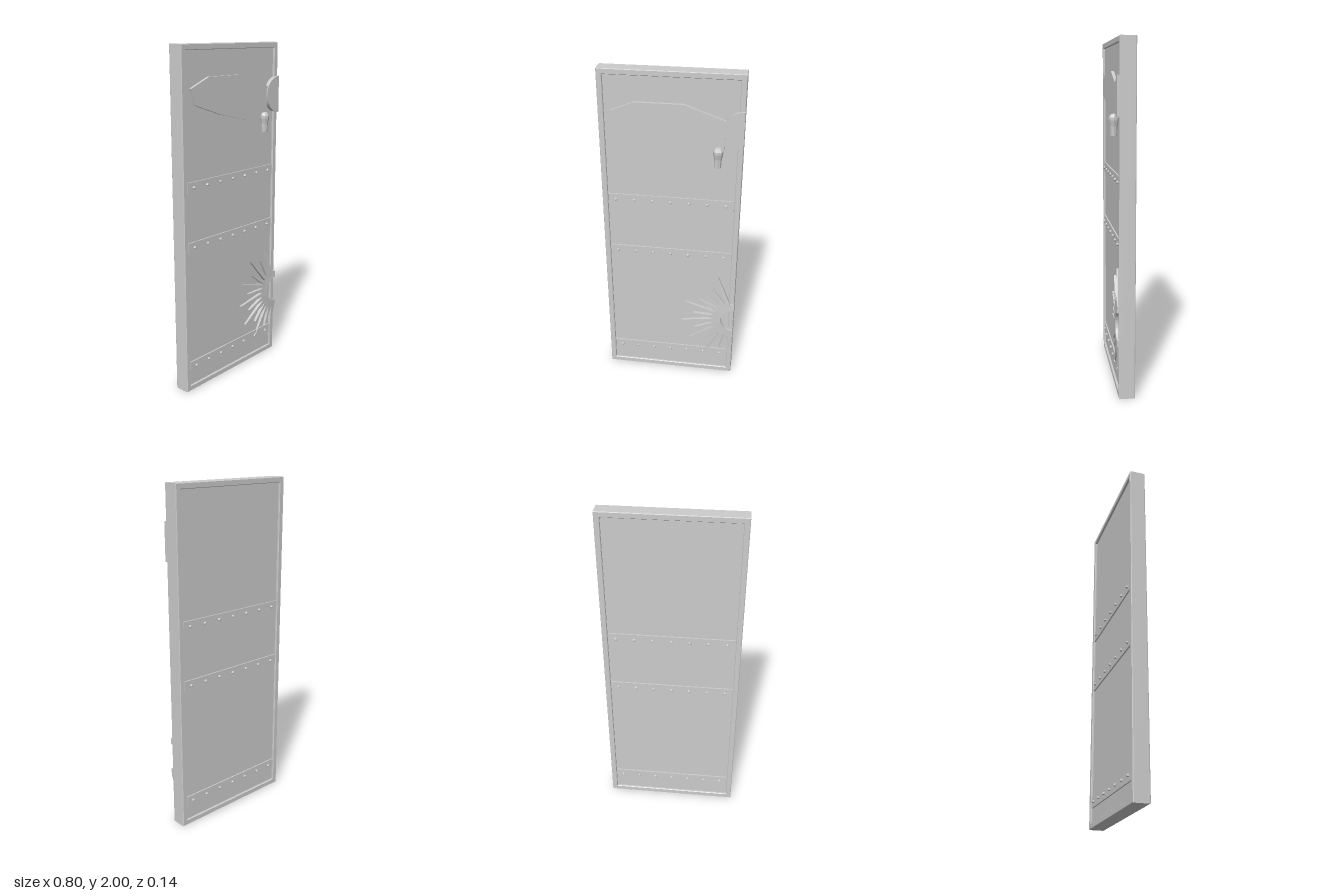
import * as THREE from 'three';

const MID = -0.018; // z of the door's middle plane
const mat = new THREE.MeshStandardMaterial({ color: 0xcccccc, flatShading: true });

function add(parent, name, geometry, x = 0, y = 0, z = 0) {
  const mesh = new THREE.Mesh(geometry, mat);
  mesh.name = name;
  mesh.position.set(x, y, z);
  parent.add(mesh);
  return mesh;
}

function rect(w, h, Type = THREE.Shape) {
  const s = new Type();
  s.moveTo(-w / 2, -h / 2);
  s.lineTo(w / 2, -h / 2);
  s.lineTo(w / 2, h / 2);
  s.lineTo(-w / 2, h / 2);
  s.closePath();
  return s;
}

const extrude = (shape, depth) =>
  new THREE.ExtrudeGeometry(shape, { depth, bevelEnabled: false, curveSegments: 20 });

// Riveted cross straps, one side of the door
function strapSet(name) {
  const set = new THREE.Group();
  set.name = name;
  const rivet = new THREE.SphereGeometry(0.0095, 7, 5).rotateX(Math.PI / 2);
  for (const y of [1.232, 0.885, 0.15]) {
    add(set, 'strap', new THREE.BoxGeometry(0.73, 0.064, 0.012), 0, y, 0.036);
    for (let i = -3; i <= 3; i++) add(set, 'rivet', rivet, i * 0.1067, y, 0.044);
  }
  set.position.z = MID;
  return set;
}

// Half sunburst: open ring with long and short rays, cut off at the door edge
function sunburst() {
  const polar = (deg, r) => {
    const a = THREE.MathUtils.degToRad(deg);
    return new THREE.Vector2(Math.cos(a) * r, Math.sin(a) * r);
  };
  const step = 180 / 14, pts = [polar(90, 0.12)];
  for (let i = 0; i <= 12; i++) {
    const a = 108.7 + i * step;
    pts.push(polar(a - step / 2, 0.125), polar(a, i % 2 ? 0.258 : 0.327));
  }
  pts.push(polar(270, 0.12));
  for (let i = 0; i <= 16; i++) pts.push(polar(270 - i * 180 / 16, 0.08));
  const geo = extrude(new THREE.Shape(pts), 0.028);
  // Rays get thinner towards their tips
  const p = geo.attributes.position;
  for (let i = 0; i < p.count; i++) {
    if (p.getZ(i) > 0.01) {
      const r = Math.hypot(p.getX(i), p.getY(i));
      p.setZ(i, 0.028 - Math.max(0, r - 0.08) * 0.044);
    }
  }
  geo.computeVertexNormals();
  return geo;
}

export function createModel() {
  const door = new THREE.Group();
  door.name = 'door';

  // Raised border with a slim bevel around a recessed panel
  const border = rect(0.8, 2);
  border.holes.push(rect(0.736, 1.936, THREE.Path));
  const frame = new THREE.ExtrudeGeometry(border, {
    depth: 0.084, bevelThickness: 0.004, bevelSize: 0.003, bevelOffset: -0.003, bevelSegments: 1,
  });
  add(door, 'frame', frame, 0, 1, MID - 0.042);
  add(door, 'panel', new THREE.BoxGeometry(0.75, 1.95, 0.068), 0, 1, MID);

  // Straps on both faces
  const back = strapSet('backStraps');
  back.rotation.y = Math.PI;
  door.add(strapSet('frontStraps'), back);

  // Flat blade and its half-round hub
  const blade = new THREE.Shape([
    [-0.335, 1.77], [-0.305, 1.68], [-0.1, 1.612], [0.11, 1.565], [0.298, 1.582],
    [0.298, 1.65], [0.34, 1.68], [0.34, 1.73], [0.3, 1.745], [0.07, 1.825], [-0.2, 1.825],
  ].map(([x, y]) => new THREE.Vector2(x, y)));
  add(door, 'blade', extrude(blade, 0.02), 0, 0, 0.013);
  const hub = new THREE.Shape();
  hub.absarc(0, 0, 0.108, Math.PI / 2, Math.PI * 1.5, false);
  hub.closePath();
  add(door, 'bladeHub', extrude(hub, 0.028), 0.4, 1.694, 0.012);

  // Faceted hanging handle with a domed head
  const profile = [
    [0, 1.478], [0.018, 1.478], [0.021, 1.53], [0.028, 1.562],
    [0.028, 1.577], [0.017, 1.593], [0, 1.598],
  ].map(([r, y]) => new THREE.Vector2(r, y));
  add(door, 'handle', new THREE.LatheGeometry(profile, 8), 0.265, 0, 0.042);

  add(door, 'sunburst', sunburst(), 0.4, 0.43, 0.012);
  return door;
}
